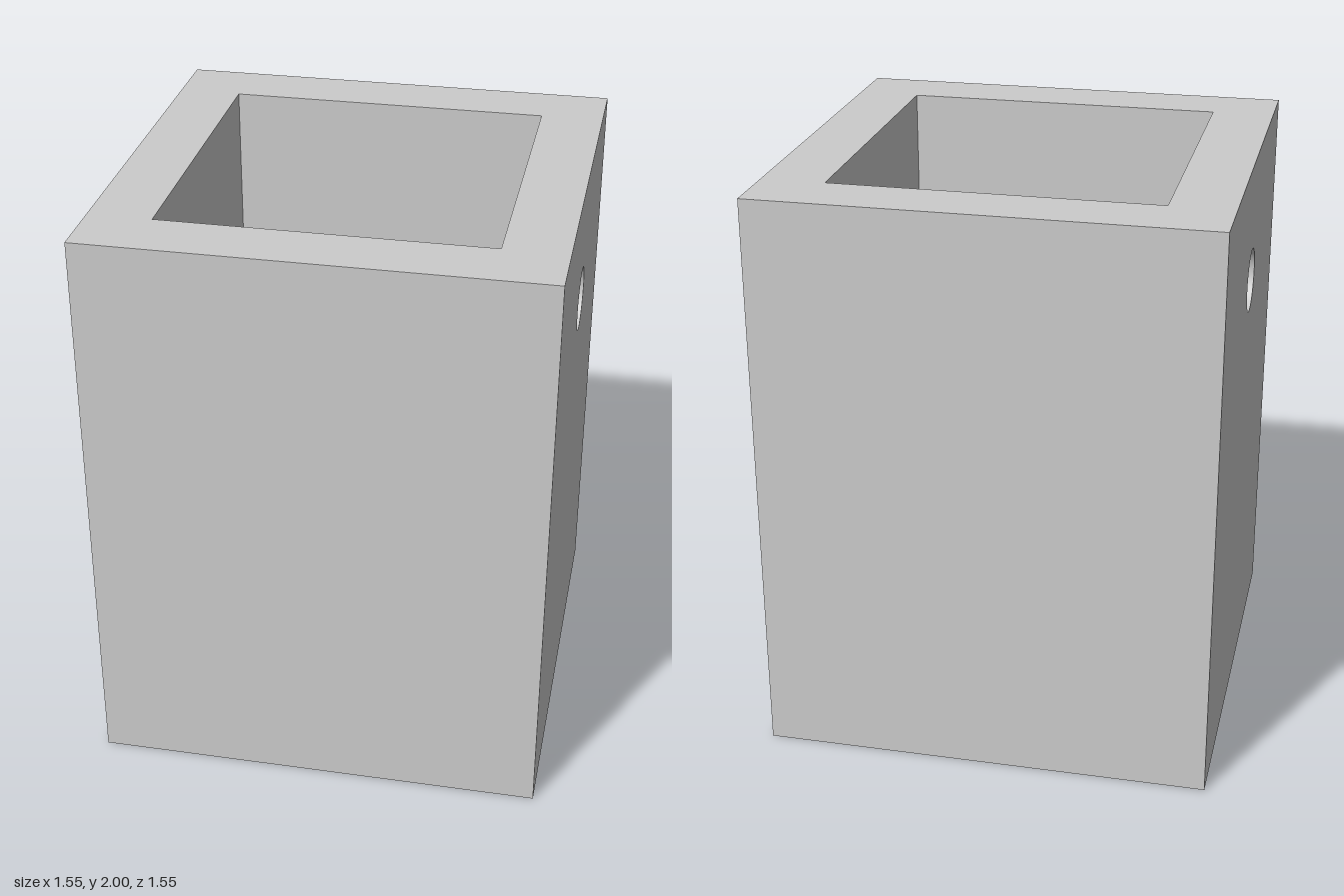
import * as THREE from 'three';

const H = 2, OUT = 0.773, IN = 0.556;   // height, outer and inner half widths
const FLOOR = 0.22;                     // floor thickness
const HOLE_Y = 1.57, HOLE_R = 0.11;     // side holes

// Upright rectangle from y0 to y1, facing +z, with an optional hole path
function panel(half, y0, y1, hole) {
  const shape = new THREE.Shape();
  shape.moveTo(-half, y0).lineTo(half, y0).lineTo(half, y1).lineTo(-half, y1).closePath();
  if (hole) shape.holes.push(hole);
  return new THREE.ShapeGeometry(shape, 48);
}

export function createModel() {
  const group = new THREE.Group();
  const grey = new THREE.MeshStandardMaterial({ color: 0xcccccc, side: THREE.DoubleSide });
  grey.name = 'light grey';

  const add = (name, geometry) => {
    const mesh = new THREE.Mesh(geometry, grey);
    mesh.name = name;
    group.add(mesh);
  };
  const roundHole = () => new THREE.Path().absarc(0, HOLE_Y, HOLE_R, 0, Math.PI * 2, true);

  // Four walls, each an outer and an inner face; the x sides are pierced
  ['front', 'left', 'back', 'right'].forEach((side, i) => {
    const hole = () => (i % 2 ? roundHole() : null);
    const turn = i * Math.PI / 2;
    add(side + 'OuterWall', panel(OUT, 0, H, hole()).translate(0, 0, OUT).rotateY(turn));
    add(side + 'InnerWall', panel(IN, FLOOR, H, hole()).rotateY(Math.PI).translate(0, 0, IN).rotateY(turn));
  });

  // Bores joining the outer and inner faces of the pierced walls
  for (const s of [1, -1]) {
    const bore = new THREE.CylinderGeometry(HOLE_R, HOLE_R, OUT - IN, 48, 1, true);
    bore.rotateZ(Math.PI / 2).translate(s * (OUT + IN) / 2, HOLE_Y, 0);
    add(s > 0 ? 'leftHole' : 'rightHole', bore);
  }

  // Square top rim
  const opening = new THREE.Path();
  opening.moveTo(-IN, -IN).lineTo(-IN, IN).lineTo(IN, IN).lineTo(IN, -IN).closePath();
  add('topRim', panel(OUT, -OUT, OUT, opening).rotateX(-Math.PI / 2).translate(0, H, 0));

  // Floor of the cavity and underside
  add('cavityFloor', panel(IN, -IN, IN).rotateX(-Math.PI / 2).translate(0, FLOOR, 0));
  add('underside', panel(OUT, -OUT, OUT).rotateX(Math.PI / 2));

  return group;
}
